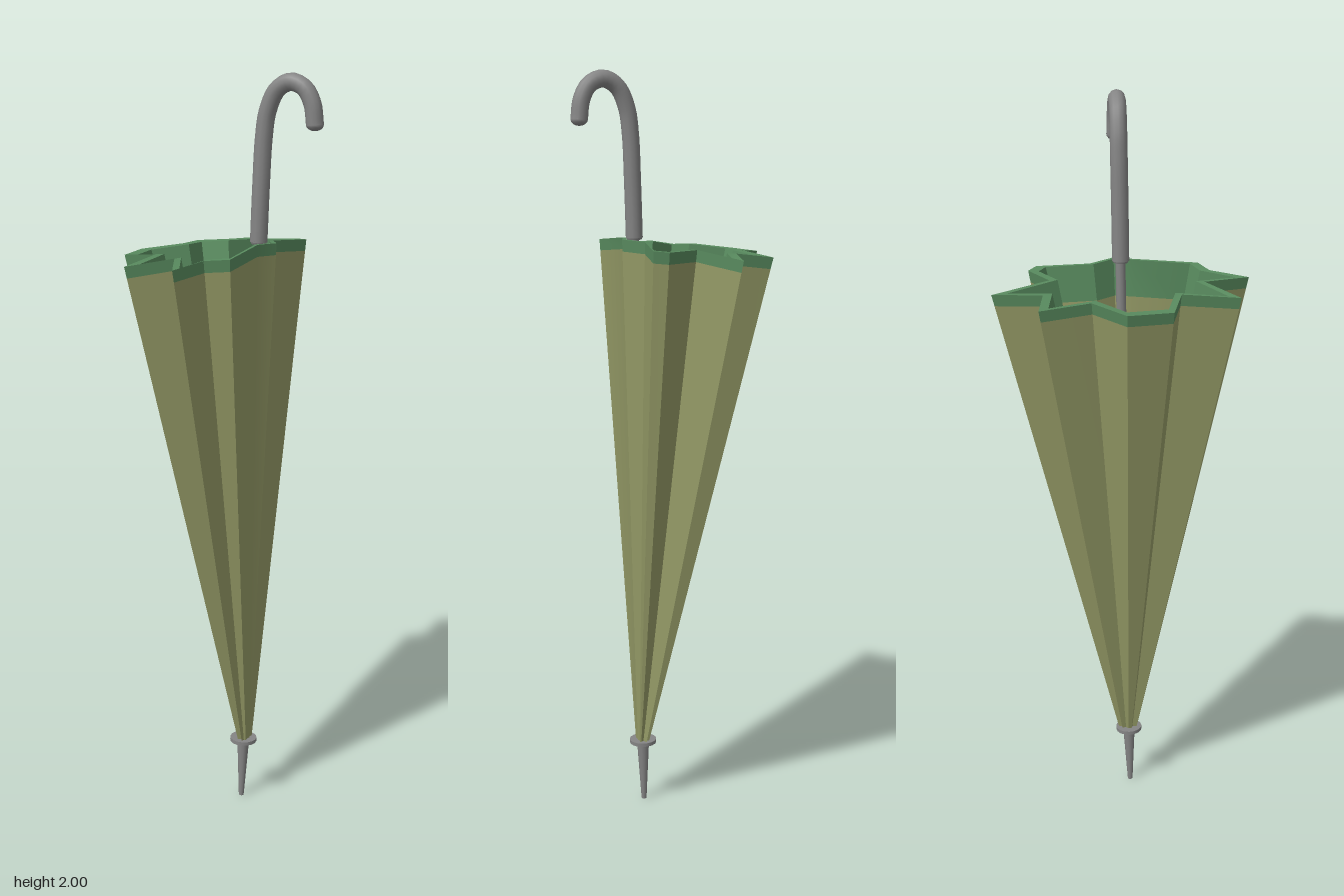
import * as THREE from 'three';
import { toCreasedNormals } from 'three/addons/utils/BufferGeometryUtils.js';

const mat = (name, color) => {
  const m = new THREE.MeshStandardMaterial({ color });
  m.name = name;
  return m;
};
const V = (x, y, z) => new THREE.Vector3(x, y, z);

// Folded rim outline (x, z), clockwise seen from above
const OUTLINE = [
  [-0.08, -0.33], [-0.015, -0.185], [0.08, -0.24], [0.115, -0.22], [0.087, -0.08], [0.128, -0.02],
  [0.105, 0.04], [0.115, 0.205], [0.055, 0.23], [0.025, 0.33], [-0.04, 0.21], [-0.135, 0.295],
  [-0.135, 0.145], [-0.245, 0.12], [-0.265, 0.005], [-0.185, -0.08], [-0.215, -0.21], [-0.115, -0.2],
];

// Ring of the folded cloth at height fraction t, shrunk towards its own centre
function ring(t, shrink = 1) {
  const cx = THREE.MathUtils.lerp(0.06, 0.02, t);
  const cz = THREE.MathUtils.lerp(0.022, 0.01, t);
  return OUTLINE.map(([x, z]) => {
    const rimY = 1.575 - 0.1 * Math.hypot(x - 0.06, z - 0.02) + 0.04 * x;
    const px = THREE.MathUtils.lerp(0.06 + (x + 0.07) * 0.08, x, t);
    const pz = THREE.MathUtils.lerp(0.022 + z * 0.08, z, t);
    return V(cx + (px - cx) * shrink, THREE.MathUtils.lerp(0.175, rimY, t), cz + (pz - cz) * shrink);
  });
}

// Skin a list of rings, keeping the fold lines sharp
function loft(rings) {
  const tris = [];
  for (let k = 0; k + 1 < rings.length; k++) {
    const a = rings[k], b = rings[k + 1];
    a.forEach((p, i) => {
      const j = (i + 1) % a.length;
      tris.push(p, b[i], b[j], p, b[j], a[j]);
    });
  }
  const g = new THREE.BufferGeometry().setFromPoints(tris);
  g.computeVertexNormals();
  return toCreasedNormals(g, 0.5);
}

// Tapered round bar between two points
function bar(from, to, r0, r1, sides = 10) {
  const dir = to.clone().sub(from);
  const g = new THREE.CylinderGeometry(r1, r0, dir.length(), sides);
  g.applyQuaternion(new THREE.Quaternion().setFromUnitVectors(V(0, 1, 0), dir.normalize()));
  const mid = from.clone().add(to).multiplyScalar(0.5);
  return g.translate(mid.x, mid.y, mid.z);
}

export function createModel() {
  const model = new THREE.Group();
  model.name = 'umbrella';
  const olive = mat('olive cloth', 0x949a66);
  const green = mat('green trim', 0x588a5e);
  const grey = mat('grey metal', 0x858585);
  olive.side = green.side = THREE.DoubleSide;

  const add = (name, geometry, material) => {
    const mesh = new THREE.Mesh(geometry, material);
    mesh.name = name;
    model.add(mesh);
    return mesh;
  };

  // Folded canopy: outer cloth, trim over the rim, inner cloth closing on a point
  const outerTrim = ring(0.978), rim = ring(1), innerRim = ring(1, 0.89);
  const innerTrim = ring(0.93, 0.86), pocket = ring(0.37, 0.8);
  const centre = OUTLINE.map(() => V(0.03, 0.46, 0.015));
  add('canopyOutside', loft([ring(0), outerTrim]), olive);
  add('canopyTrim', loft([outerTrim, rim, innerRim, innerTrim]), green);
  add('canopyInside', loft([innerTrim, pocket]), olive);
  add('canopyPocket', loft([pocket, centre]), olive);

  // Leaning shaft, pointed tip and collar
  add('shaft', bar(V(0.059, 0.17, 0.024), V(0.088, 1.6, 0), 0.013, 0.013), grey);
  add('tip', bar(V(0.055, 0, 0.028), V(0.059, 0.175, 0.024), 0.007, 0.017), grey);
  add('collar', bar(V(0.059, 0.17, 0.024), V(0.0592, 0.18, 0.0238), 0.037, 0.037, 16), grey);

  // Crooked handle with a closed lower end and a rounded hook end
  const path = new THREE.CatmullRomCurve3([
    V(0.087, 1.575, 0.001), V(0.092, 1.72, -0.001), V(0.098, 1.84, -0.003), V(0.108, 1.905, -0.004),
    V(0.133, 1.957, -0.005), V(0.17, 1.977, -0.006), V(0.208, 1.963, -0.007), V(0.23, 1.925, -0.008),
    V(0.237, 1.875, -0.009),
  ]);
  add('handle', new THREE.TubeGeometry(path, 40, 0.0225, 12), grey);
  add('handleBase', bar(V(0.0868, 1.57, 0.001), V(0.0872, 1.58, 0.001), 0.019, 0.0225, 12), grey);
  const end = add('handleEnd', new THREE.SphereGeometry(0.0225, 12, 8), grey);
  end.position.set(0.237, 1.875, -0.009);
  end.scale.y = 0.7;
  return model;
}
